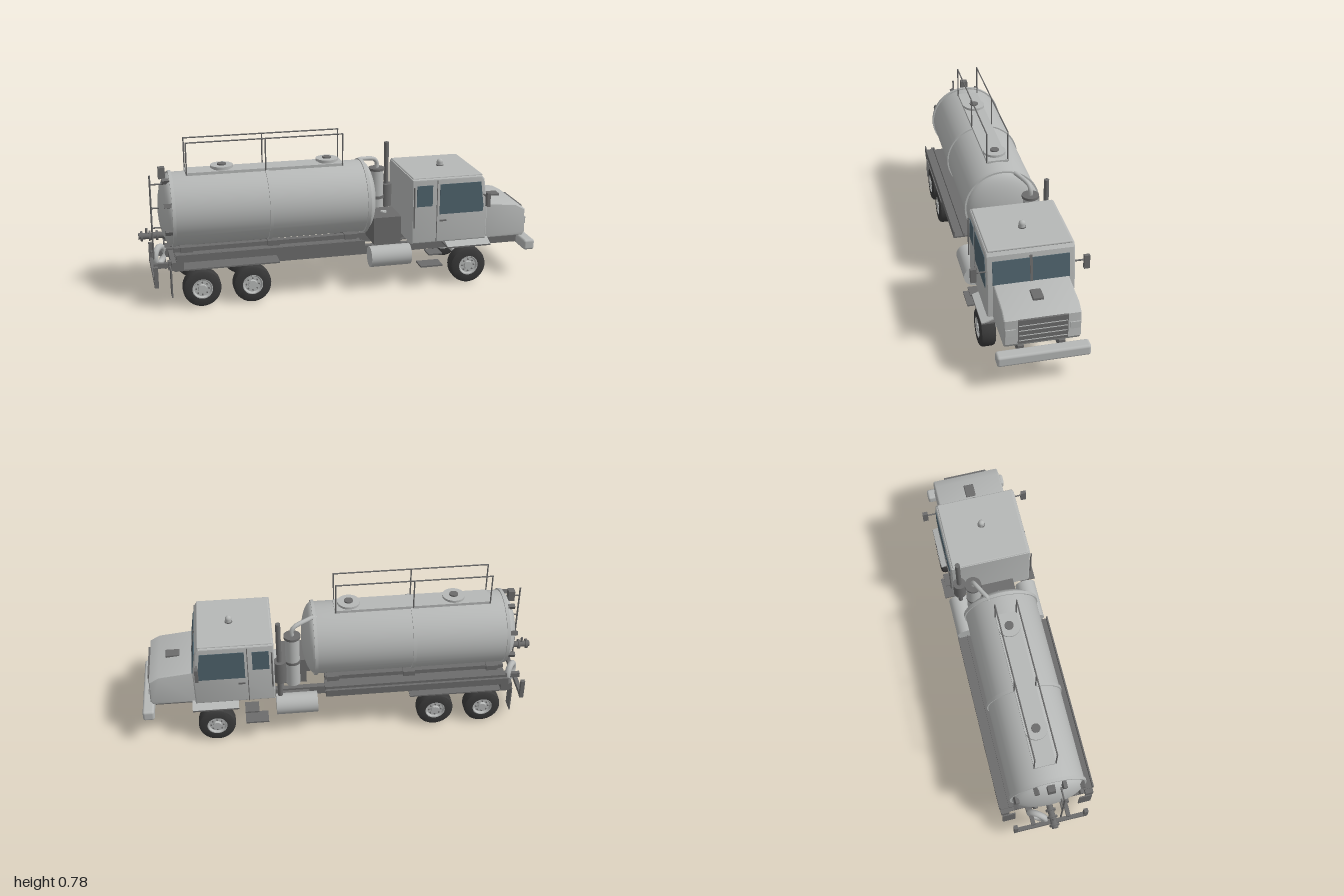
import * as THREE from 'three';
import { toCreasedNormals } from 'three/addons/utils/BufferGeometryUtils.js';
import { RoundedBoxGeometry } from 'three/addons/geometries/RoundedBoxGeometry.js';

const mat = (name, color) => {
  const m = new THREE.MeshStandardMaterial({ color });
  m.name = name;
  return m;
};

export function createModel() {
  const root = new THREE.Group();
  root.name = 'tankTruck';
  const body = mat('light grey', 0xb6b8b7);
  const dark = mat('dark grey', 0x6c6c6c);
  const rubber = mat('tyre rubber', 0x3a3a3a);
  const glass = mat('window glass', 0x4f636d);

  const add = (name, geo, m, x = 0, y = 0, z = 0, parent = root) => {
    const mesh = new THREE.Mesh(geo, m);
    mesh.name = name;
    mesh.position.set(x, y, z);
    parent.add(mesh);
    return mesh;
  };
  // box given by its minimum and maximum on each axis
  const box = (name, m, x0, x1, y0, y1, z0, z1) =>
    add(name, new THREE.BoxGeometry(x1 - x0, y1 - y0, z1 - z0), m, (x0 + x1) / 2, (y0 + y1) / 2, (z0 + z1) / 2);
  const rounded = (name, m, x0, x1, y0, y1, z0, z1, r) =>
    add(name, new RoundedBoxGeometry(x1 - x0, y1 - y0, z1 - z0, 3, r), m, (x0 + x1) / 2, (y0 + y1) / 2, (z0 + z1) / 2);
  // cylinder between two points
  const rod = (name, m, a, b, r, seg = 12) => {
    const p = new THREE.Vector3(...a), q = new THREE.Vector3(...b);
    const d = q.clone().sub(p);
    const mesh = add(name, new THREE.CylinderGeometry(r, r, d.length(), seg), m);
    mesh.position.copy(p).add(q).multiplyScalar(0.5);
    mesh.quaternion.setFromUnitVectors(new THREE.Vector3(0, 1, 0), d.normalize());
    return mesh;
  };
  // side profile extruded across the width, centred on z
  const profile = (name, m, pts, halfWidth, bevel, z = 0) => {
    const shape = new THREE.Shape(pts.map(p => new THREE.Vector2(...p)));
    const geo = new THREE.ExtrudeGeometry(shape, {
      depth: 2 * (halfWidth - bevel), bevelEnabled: bevel > 0, bevelSize: bevel,
      bevelThickness: bevel, bevelOffset: -bevel, bevelSegments: 3,
    });
    geo.translate(0, 0, -(halfWidth - bevel));
    return add(name, toCreasedNormals(geo, 0.5), m, 0, 0, z);
  };
  const lathe = (pts, seg) => toCreasedNormals(
    new THREE.LatheGeometry(pts.map(p => new THREE.Vector2(...p)), seg), 0.6);

  // chassis
  for (const s of [-1, 1]) {
    box('chassisRail', dark, -0.87, 0.94, 0.155, 0.2, s * 0.095 - 0.014, s * 0.095 + 0.014);
    box('tankSubframe', dark, -0.84, 0.08, 0.24, 0.27, s * 0.1 - 0.016, s * 0.1 + 0.016);
  }
  for (const x of [-0.84, -0.6, -0.3, 0, 0.3, 0.55, 0.85]) box('crossMember', dark, x - 0.015, x + 0.015, 0.165, 0.192, -0.085, 0.085);
  rounded('frontBumper', body, 0.942, 1, 0.142, 0.196, -0.215, 0.215, 0.012);

  // wheels and axles
  const tyre = lathe([[0.05, -0.037], [0.08, -0.037], [0.09, -0.031], [0.093, -0.02], [0.093, 0.02], [0.09, 0.031], [0.08, 0.037], [0.05, 0.037]], 36);
  const rim = lathe([[0, -0.03], [0.052, -0.03], [0.052, 0.036], [0.046, 0.036], [0.04, 0.026], [0.022, 0.026], [0.02, 0.038], [0, 0.038]], 32);
  const lug = new THREE.CylinderGeometry(0.004, 0.004, 0.006, 8);
  for (const x of [-0.72, -0.475, 0.635]) {
    rod('axle', body, [x, 0.093, -0.17], [x, 0.093, 0.17], 0.012);
    for (const s of [-1, 1]) {
      const wheel = new THREE.Group();
      wheel.name = 'wheel';
      add('tyre', tyre, rubber, 0, 0, 0, wheel);
      add('rim', rim, body, 0, 0, 0, wheel);
      for (let i = 0; i < 8; i++) {
        const a = i * Math.PI / 4;
        add('wheelNut', lug, dark, 0.031 * Math.cos(a), 0.028, 0.031 * Math.sin(a), wheel);
      }
      wheel.position.set(x, 0.093, s * 0.195);
      wheel.rotation.x = s * Math.PI / 2;
      root.add(wheel);
    }
  }

  // tank shell with domed ends, turned along x
  const R = 0.183, end = [];
  for (let i = 0; i <= 10; i++) {
    const a = i * Math.PI / 20;
    end.push([R * Math.sin(a), Math.cos(a)]);
  }
  const tankPts = [...end.map(([r, c]) => [r, -0.83 - 0.07 * c]), ...end.slice().reverse().map(([r, c]) => [r, 0.125 + 0.062 * c])];
  const tank = add('tankShell', lathe(tankPts, 48), body, 0, 0.435, 0);
  tank.rotation.z = -Math.PI / 2;
  for (const x of [-0.835, -0.365, 0.125]) {
    rod('tankBand', body, [x - 0.008, 0.435, 0], [x + 0.008, 0.435, 0], 0.19, 48);
  }
  for (const x of [-0.78, -0.35, 0.04]) {
    box('tankSaddle', dark, x - 0.03, x + 0.03, 0.2, 0.275, -0.13, 0.13);
  }

  // side trays and supports
  for (const s of [-1, 1]) {
    const side = (name, x0, x1, y0, y1, a, b, m = dark) => box(name, m, x0, x1, y0, y1, Math.min(s * a, s * b), Math.max(s * a, s * b));
    side('trayFloor', -0.84, 0.085, 0.24, 0.248, 0.115, 0.24);
    side('trayLip', -0.84, 0.085, 0.24, 0.277, 0.233, 0.24);
    side('trayInnerLip', -0.84, 0.085, 0.24, 0.262, 0.185, 0.192);
    side('rearFender', -0.85, -0.34, 0.195, 0.202, 0.11, 0.235);
    side('frontFender', 0.52, 0.75, 0.195, 0.202, 0.11, 0.235);
    const skirt = side('fenderSkirt', 0.52, 0.75, 0.208, 0.214, 0.165, 0.235, body);
    skirt.rotation.x = s * 0.35;
    side('mudFlap', -0.868, -0.862, 0.06, 0.2, 0.165, 0.23);
    side('upperStep', 0.42, 0.49, 0.166, 0.174, 0.16, 0.235);
    side('lowerStep', 0.375, 0.49, 0.11, 0.118, 0.17, 0.25);
    side('mirror', 0.705, 0.722, 0.415, 0.485, 0.25, 0.277);
    rod('mirrorArm', dark, [0.712, 0.46, s * 0.2], [0.712, 0.46, s * 0.255], 0.004, 8);
    rod('fuelTank', body, [0.125, 0.168, s * 0.183], [0.332, 0.168, s * 0.183], 0.053, 32);
    side('fuelTankBracket', 0.16, 0.3, 0.15, 0.19, 0.1, 0.14);
    side('tailPost', -0.945, -0.925, 0.1, 0.205, 0.17, 0.19);
    side('tailArm', -0.94, -0.85, 0.165, 0.19, 0.08, 0.1);
    side('rearLamp', -0.862, -0.805, 0.2, 0.24, 0.195, 0.235);
  }
  box('underrunBar', dark, -0.945, -0.925, 0.104, 0.126, -0.19, 0.19);

  // walkway, hatches and guard rails on top
  box('walkway', body, -0.76, 0.022, 0.612, 0.626, -0.053, 0.053);
  for (const x of [-0.58, -0.052]) {
    rod('hatchNeck', body, [x, 0.6, 0], [x, 0.633, 0], 0.045, 32);
    rod('hatchLid', body, [x, 0.633, 0], [x, 0.645, 0], 0.056, 32);
    rod('hatchCap', dark, [x, 0.645, 0], [x, 0.652, 0], 0.022, 20);
  }
  for (const z of [-0.053, 0.053]) {
    for (const x of [-0.757, -0.37, 0.017]) rod('railPost', dark, [x, 0.615, z], [x, 0.778, z], 0.0035, 8);
    rod('railTop', dark, [-0.76, 0.776, z], [0.02, 0.776, z], 0.0035, 8);
  }

  // rear door clamps, gauge, outlet and hose reel
  for (let i = 0; i < 8; i++) {
    const a = (i + 0.5) * Math.PI / 4;
    const c = add('doorClamp', new THREE.BoxGeometry(0.035, 0.02, 0.02), dark, -0.862, 0.435 + 0.175 * Math.sin(a), 0.175 * Math.cos(a));
    c.rotation.x = -a;
  }
  box('topValve', dark, -0.89, -0.858, 0.595, 0.65, -0.018, 0.018);
  rod('sightGauge', dark, [-0.935, 0.2, 0.05], [-0.935, 0.625, 0.05], 0.0045, 8);
  for (const y of [0.36, 0.46, 0.58]) rod('gaugeLink', dark, [-0.935, y, 0.05], [-0.855, y, 0.05], 0.004, 8);
  rod('outletPipe', dark, [-1, 0.305, 0], [-0.85, 0.305, 0], 0.016, 16);
  for (const x of [-0.985, -0.945, -0.91]) rod('outletFlange', dark, [x - 0.005, 0.305, 0], [x + 0.005, 0.305, 0], 0.025, 20);
  rod('valveStem', dark, [-0.96, 0.305, 0], [-0.96, 0.345, 0], 0.006, 8);
  const reel = add('hoseReel', new THREE.TorusGeometry(0.042, 0.016, 10, 28), body, -0.9, 0.178, -0.06);
  reel.rotation.y = Math.PI / 2 - 0.6;

  // pump box, separator, pipe and exhaust
  box('pumpBox', dark, 0.168, 0.31, 0.2, 0.342, -0.06, 0.108);
  rod('pumpCap', body, [0.24, 0.342, 0.025], [0.24, 0.35, 0.025], 0.016, 16);
  rod('separator', body, [0.24, 0.25, -0.115], [0.24, 0.53, -0.115], 0.036, 28);
  rod('separatorLid', dark, [0.24, 0.53, -0.115], [0.24, 0.543, -0.115], 0.042, 28);
  rod('separatorBand', dark, [0.24, 0.38, -0.115], [0.24, 0.395, -0.115], 0.039, 28);
  const path = new THREE.CatmullRomCurve3([[0.1, 0.58, -0.055], [0.125, 0.604, -0.062], [0.17, 0.603, -0.085], [0.225, 0.59, -0.11], [0.24, 0.57, -0.115], [0.24, 0.53, -0.115]].map(p => new THREE.Vector3(...p)));
  add('vacuumPipe', new THREE.TubeGeometry(path, 32, 0.011, 12), body);
  rod('exhaustStack', dark, [0.31, 0.19, -0.175], [0.31, 0.66, -0.175], 0.0125, 20);
  rod('muffler', dark, [0.308, 0.315, -0.175], [0.308, 0.435, -0.175], 0.032, 24);

  // cab and hood
  profile('cab', body, [[0.335, 0.222], [0.733, 0.222], [0.736, 0.4], [0.716, 0.54], [0.7, 0.56], [0.335, 0.56]], 0.207, 0.012);
  profile('hood', body, [[0.72, 0.212], [0.945, 0.212], [0.957, 0.23], [0.953, 0.355], [0.905, 0.382], [0.72, 0.402]], 0.177, 0.01);
  rounded('roofCap', body, 0.34, 0.705, 0.553, 0.566, -0.197, 0.197, 0.006);
  rod('beaconBase', dark, [0.545, 0.563, 0], [0.545, 0.57, 0], 0.019, 20);
  add('beacon', new THREE.CapsuleGeometry(0.016, 0.016, 6, 18), body, 0.545, 0.577, 0);
  rounded('hoodVent', dark, 0.8, 0.87, 0.383, 0.4, -0.026, 0.026, 0.005);

  // windscreen halves and centre post
  for (const s of [-1, 1]) {
    const pane = add('windscreen', new THREE.BoxGeometry(0.008, 0.118, 0.174), glass, 0.728, 0.456, s * 0.092);
    pane.rotation.z = 0.142;
  }
  const post = add('windscreenPost', new THREE.BoxGeometry(0.012, 0.13, 0.012), dark, 0.728, 0.463, 0);
  post.rotation.z = 0.142;

  // side windows, door seams, handles and grab rails
  for (const s of [-1, 1]) {
    const z = s * 0.2075;
    profile('doorWindow', glass, [[0.48, 0.372], [0.708, 0.372], [0.712, 0.4], [0.695, 0.528], [0.48, 0.528]], 0.002, 0, z);
    profile('rearWindow', glass, [[0.36, 0.418], [0.442, 0.418], [0.442, 0.526], [0.36, 0.526]], 0.002, 0, z);
    box('doorSeam', dark, 0.464, 0.468, 0.225, 0.55, z - 0.001, z + 0.001);
    box('doorHandle', dark, 0.48, 0.515, 0.335, 0.343, z - 0.005, z + 0.005);
    rod('grabRail', dark, [0.346, 0.31, s * 0.213], [0.346, 0.52, s * 0.213], 0.004, 8);
  }

  // grille and headlamp panels
  box('grille', dark, 0.945, 0.961, 0.232, 0.356, -0.114, 0.114);
  for (let i = 0; i < 4; i++) box('grilleBar', body, 0.958, 0.964, 0.2465 + i * 0.0265, 0.2495 + i * 0.0265, -0.11, 0.11);
  for (const s of [-1, 1]) box('headlampPanel', body, 0.945, 0.96, 0.275, 0.31, s * 0.148 - 0.023, s * 0.148 + 0.023);
  return root;
}
